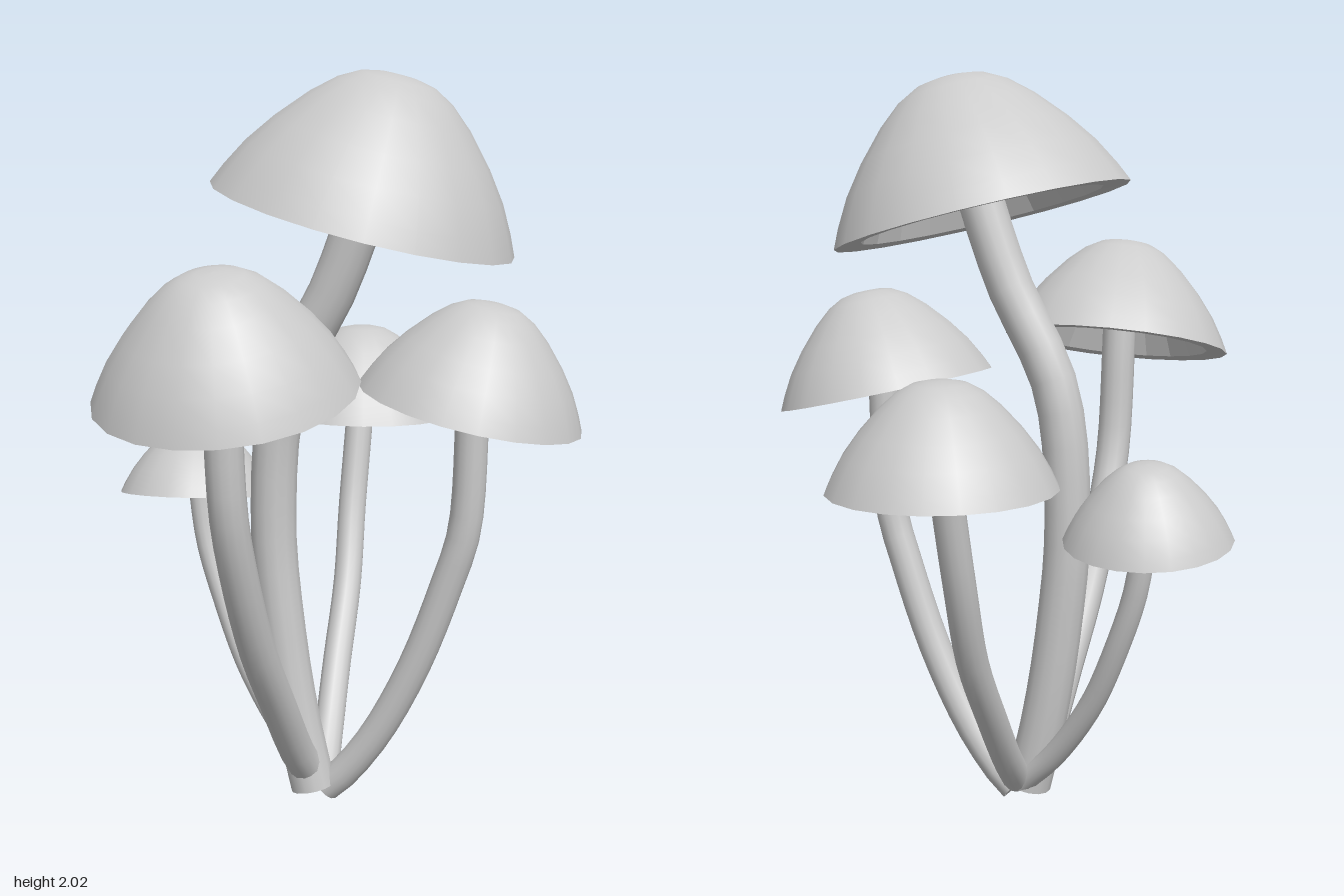
import * as THREE from 'three';

const smooth = new THREE.MeshStandardMaterial({ color: 0xcccccc });
const faceted = new THREE.MeshStandardMaterial({ color: 0xcccccc, flatShading: true });
const UP = new THREE.Vector3(0, 1, 0);
const SIDES = 20;

// Cap profiles for a rim radius of 1
const OUTER = [[1, 0], [0.94, 0.13], [0.84, 0.31], [0.7, 0.5], [0.52, 0.7], [0.37, 0.83],
  [0.24, 0.9], [0.12, 0.925], [0, 0.93]];
const UNDER = [[0, 0.5], [0.4, 0.4], [0.7, 0.23], [0.82, 0.01], [1, 0]];

// One entry per mushroom: rim centre, rim radius, cap tilt in degrees (towards +x, towards +z), stem path
const MUSHROOMS = [
  { name: 'tallMushroom', centre: [0.09, 1.635, 0.03], radius: 0.414, tilt: [14.7, 0], stemRadius: 0.064,
    path: [[-0.05, 0.035, 0.035], [-0.1, 0.25, 0.035], [-0.14, 0.5, 0.035], [-0.165, 0.8, 0.035],
      [-0.13, 1.17, 0.035], [0.01, 1.45, 0.035], [0.08, 1.63, 0.035], [0.13, 1.78, 0.035]] },
  { name: 'frontMushroom', centre: [-0.1, 1.245, 0.54], radius: 0.331, tilt: [0, 14.9], stemRadius: 0.049,
    path: [[-0.05, 0.06, 0.01], [-0.07, 0.13, 0.08], [-0.08, 0.344, 0.24], [-0.088, 0.534, 0.37],
      [-0.093, 0.757, 0.48], [-0.097, 0.94, 0.54], [-0.1, 1.23, 0.565], [-0.1, 1.36, 0.575]] },
  { name: 'leftMushroom', centre: [0.383, 1.147, 0.012], radius: 0.305, tilt: [13, 0], stemRadius: 0.045,
    path: [[-0.02, 0.03, 0.01], [0.03, 0.075, 0.01], [0.125, 0.2, 0.01], [0.235, 0.41, 0.01],
      [0.325, 0.65, 0.01], [0.373, 0.81, 0.01], [0.39, 1.13, 0.01], [0.395, 1.25, 0.01]] },
  { name: 'backMushroom', centre: [-0.1, 1.01, -0.578], radius: 0.286, tilt: [0.5, -1], stemRadius: 0.042,
    path: [[-0.03, 0.06, 0], [-0.05, 0.16, -0.11], [-0.07, 0.31, -0.24], [-0.085, 0.52, -0.39],
      [-0.1, 0.73, -0.484], [-0.1, 1.0, -0.558], [-0.1, 1.1, -0.58]] },
  { name: 'smallMushroom', centre: [-0.462, 0.825, -0.128], radius: 0.222, tilt: [-1.5, -8.5], stemRadius: 0.033,
    path: [[-0.045, 0.05, 0], [-0.15, 0.15, -0.025], [-0.28, 0.33, -0.065], [-0.37, 0.52, -0.1],
      [-0.426, 0.68, -0.117], [-0.452, 0.835, -0.127], [-0.46, 0.92, -0.13]] },
];

function lathe(profile, radius, material, name) {
  const points = profile.map(([r, y]) => new THREE.Vector2(r * radius, y * radius));
  const mesh = new THREE.Mesh(new THREE.LatheGeometry(points, SIDES), material);
  mesh.name = name;
  return mesh;
}

// Domed top with a hollow, faceted underside and a thick rim
function makeCap({ centre, radius, tilt }) {
  const cap = new THREE.Group();
  cap.name = 'cap';
  cap.add(lathe(OUTER, radius, smooth, 'capTop'), lathe(UNDER, radius, faceted, 'capUnderside'));
  const [tx, tz] = tilt.map(THREE.MathUtils.degToRad);
  const axis = new THREE.Vector3(Math.tan(tx), 1, Math.tan(tz)).normalize();
  cap.quaternion.setFromUnitVectors(UP, axis);
  cap.position.set(...centre);
  return cap;
}

// Curved stem with both ends closed by discs
function makeStem({ path, stemRadius }) {
  const stem = new THREE.Group();
  stem.name = 'stem';
  const curve = new THREE.CatmullRomCurve3(path.map((p) => new THREE.Vector3(...p)));
  const tube = new THREE.Mesh(new THREE.TubeGeometry(curve, 20, stemRadius, 14), smooth);
  tube.name = 'stemTube';
  stem.add(tube);
  for (const t of [0, 1]) {
    const end = new THREE.Mesh(new THREE.CircleGeometry(stemRadius, 14), smooth);
    end.name = t ? 'stemTop' : 'stemFoot';
    const outward = curve.getTangent(t).multiplyScalar(t ? 1 : -1);
    end.quaternion.setFromUnitVectors(new THREE.Vector3(0, 0, 1), outward);
    end.position.copy(curve.getPoint(t));
    stem.add(end);
  }
  return stem;
}

export function createModel() {
  const model = new THREE.Group();
  model.name = 'mushroomCluster';
  for (const spec of MUSHROOMS) {
    const mushroom = new THREE.Group();
    mushroom.name = spec.name;
    mushroom.add(makeStem(spec), makeCap(spec));
    model.add(mushroom);
  }
  return model;
}
